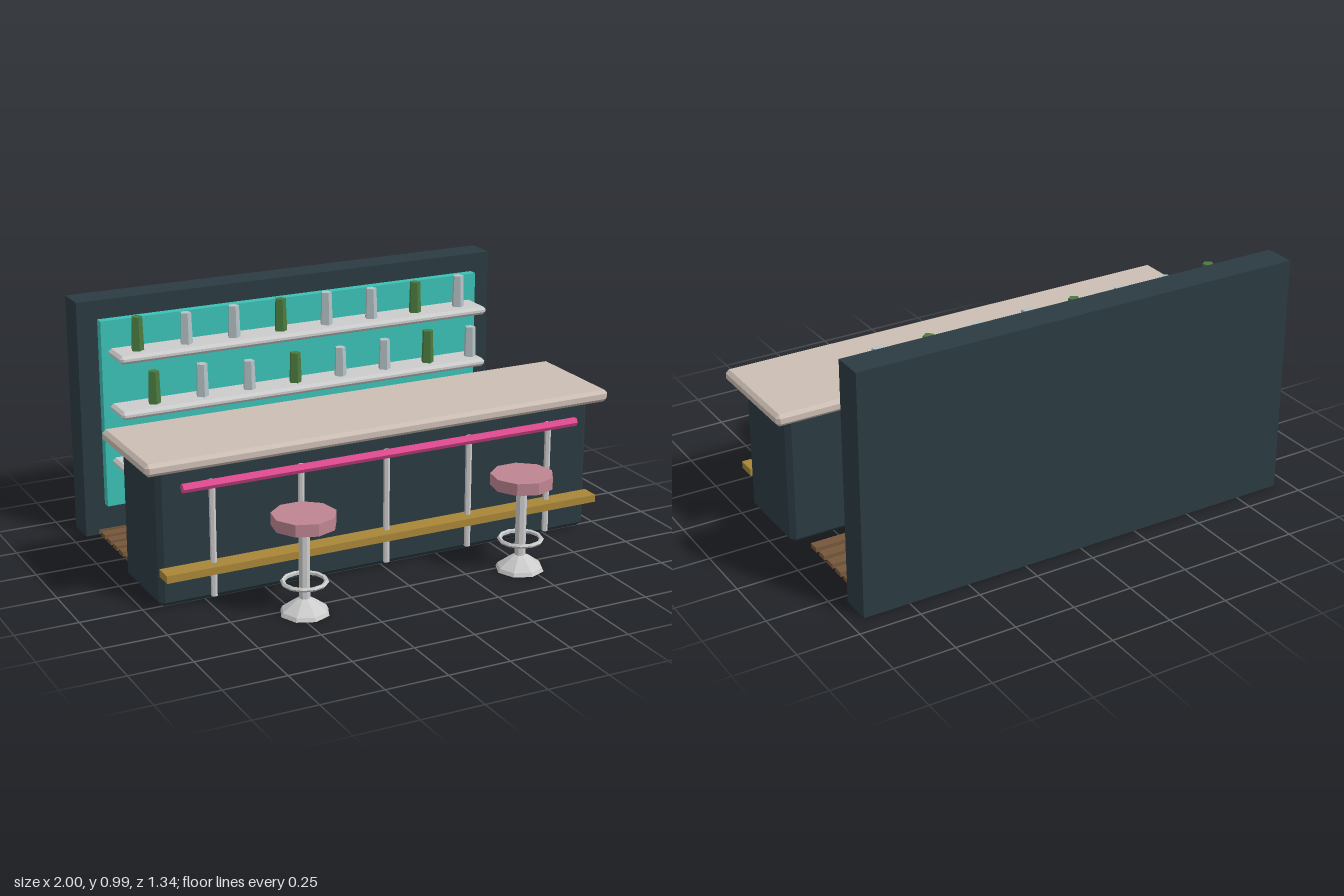
import * as THREE from 'three';
import { ConvexGeometry } from 'three/addons/geometries/ConvexGeometry.js';

const material = (color) => new THREE.MeshStandardMaterial({ color, flatShading: true });
const mats = {
  metal: material(0xcccccc),
  dark: material(0x2a3b42),
  stone: material(0xcbbdb3),
  teal: material(0x3cc0b6),
  pink: material(0xe04a90),
  cushion: material(0xbd8592),
  brass: material(0xa88638),
  wood: material(0x75573a),
  greenGlass: material(0x4a7a3e),
  clearGlass: material(0xb4c2c6),
};

function add(parent, name, geometry, mat, x = 0, y = 0, z = 0) {
  const mesh = new THREE.Mesh(geometry, mat);
  mesh.name = name;
  mesh.position.set(x, y, z);
  parent.add(mesh);
  return mesh;
}

// Box given by half width and its y and z ranges
function slab(parent, name, mat, halfX, [y0, y1], [z0, z1], chamfer = 0) {
  const h = [halfX, (y1 - y0) / 2, (z1 - z0) / 2];
  let geometry;
  if (chamfer) {
    const points = [];
    for (const sx of [-1, 1]) for (const sy of [-1, 1]) for (const sz of [-1, 1])
      for (let full = 0; full < 3; full++) {
        const [x, y, z] = h.map((v, axis) => (axis === full ? v : v - chamfer));
        points.push(new THREE.Vector3(sx * x, sy * y, sz * z));
      }
    geometry = new ConvexGeometry(points);
  } else {
    geometry = new THREE.BoxGeometry(h[0] * 2, h[1] * 2, h[2] * 2);
  }
  return add(parent, name, geometry, mat, 0, (y0 + y1) / 2, (z0 + z1) / 2);
}

function createStool(x) {
  const stool = new THREE.Group();
  stool.name = 'stool';
  stool.position.set(x, 0, 0.545);
  add(stool, 'seat', new THREE.CylinderGeometry(0.124, 0.124, 0.048, 9), mats.cushion, 0, 0.374, 0);
  add(stool, 'stem', new THREE.CylinderGeometry(0.022, 0.022, 0.3, 8), mats.metal, 0, 0.2, 0);
  const profile = [[0, 0], [0.097, 0], [0.09, 0.015], [0.042, 0.05], [0.022, 0.062], [0, 0.062]];
  add(stool, 'base', new THREE.LatheGeometry(profile.map((p) => new THREE.Vector2(...p)), 8), mats.metal);
  add(stool, 'footRing', new THREE.TorusGeometry(0.083, 0.009, 5, 12).rotateX(Math.PI / 2), mats.metal, 0, 0.127, 0);
  return stool;
}

export function createModel() {
  const bar = new THREE.Group();
  bar.name = 'barCounter';

  // Counter
  slab(bar, 'counterBody', mats.dark, 0.94, [0.003, 0.555], [-0.08, 0.28], 0.02);
  slab(bar, 'countertop', mats.stone, 1, [0.55, 0.6], [-0.135, 0.335], 0.014);
  slab(bar, 'footRest', mats.brass, 0.94, [0.135, 0.165], [0.28, 0.357]);

  // Front rail on its posts
  add(bar, 'frontRail', new THREE.CylinderGeometry(0.018, 0.018, 1.71, 6).rotateZ(Math.PI / 2), mats.pink, 0, 0.483, 0.318);
  for (let i = -2; i <= 2; i++)
    add(bar, 'railPost', new THREE.CylinderGeometry(0.0125, 0.0125, 0.467, 6), mats.metal, i * 0.366, 0.262, 0.307);

  // Back wall
  slab(bar, 'backWall', mats.dark, 0.94, [0, 0.99], [-0.667, -0.54]);
  slab(bar, 'wallPanel', mats.teal, 0.855, [0.13, 0.912], [-0.541, -0.503]);

  // Shelves with bottles; the middle row is staggered
  const heights = [0.134, 0.136, 0.121, 0.126, 0.122, 0.128, 0.14, 0.13];
  [0.34, 0.57, 0.8].forEach((top, row) => {
    slab(bar, 'shelf', mats.metal, 0.83, [top - 0.034, top], [-0.504, -0.355], 0.012);
    for (let i = 0; i < 8; i++) {
      const h = row === 1 ? heights[i] : 0.137 - 0.003 * ((i * 3) % 4);
      const x = -0.732 + i * 0.2083 + (row === 1 ? 0.064 : 0);
      add(bar, 'bottle', new THREE.CylinderGeometry(0.023, 0.027, h, 5),
        i % 3 === 0 ? mats.greenGlass : mats.clearGlass, x, top + h / 2, -0.426);
    }
  });

  // Slatted floor behind the counter
  for (let i = 0; i < 7; i++) {
    const z = -0.152 - i * 0.068;
    slab(bar, 'floorSlat', mats.wood, 0.885, [0.002, 0.021], [z - 0.0225, z + 0.0225]);
  }

  for (const side of [-1, 1]) bar.add(createStool(side * 0.468));
  return bar;
}
